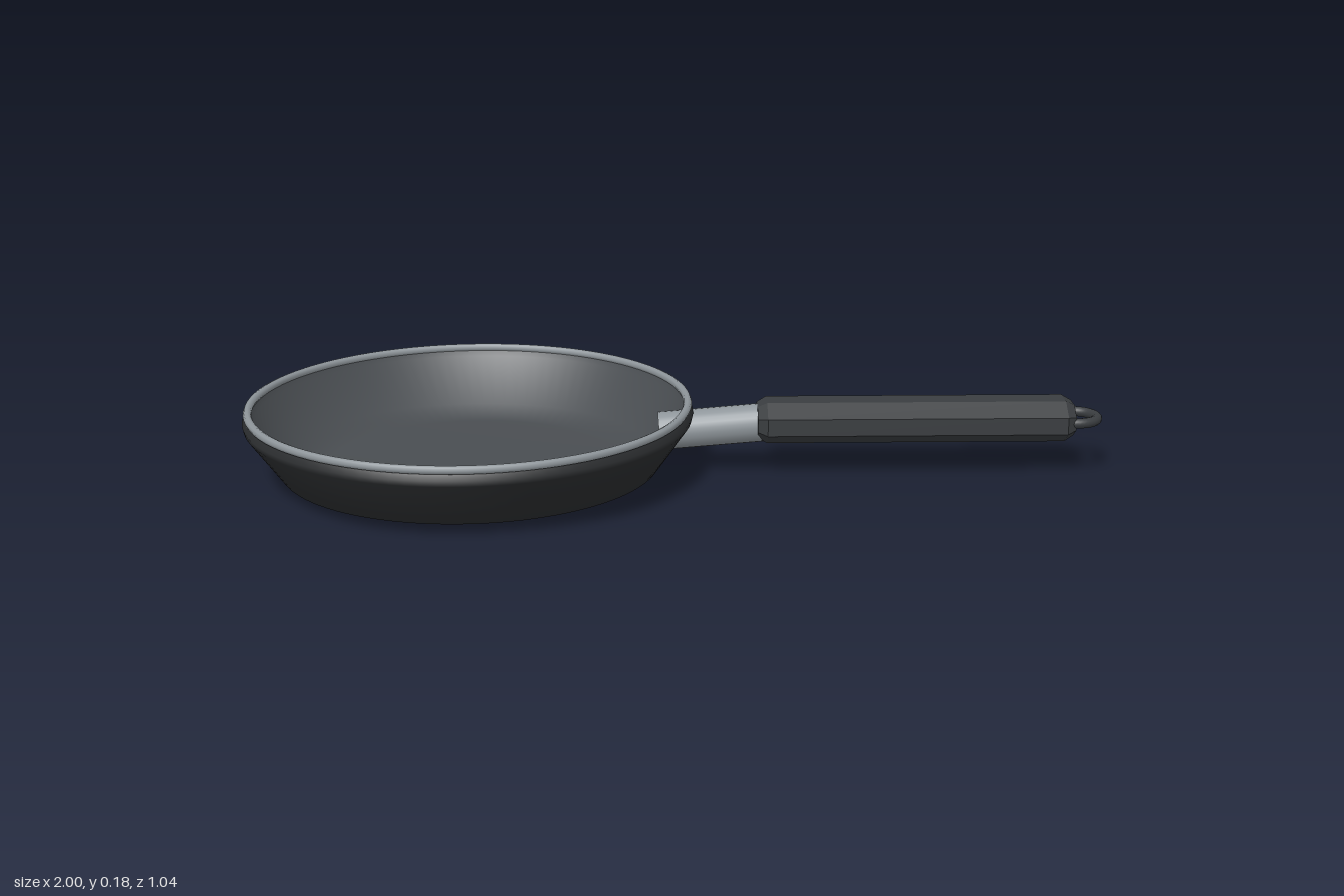
import * as THREE from 'three';

const mat = (name, color) => {
  const m = new THREE.MeshStandardMaterial({ color });
  m.name = name;
  return m;
};

export function createModel() {
  const group = new THREE.Group();
  const coating = mat('greyCoating', 0x494d51);
  const shell = mat('blackShell', 0x2b2d2f);
  const steel = mat('steel', 0x8e959a);
  const grip = mat('darkGrip', 0x3a3d40);

  const add = (name, geometry, material, x, y) => {
    const mesh = new THREE.Mesh(geometry, material);
    mesh.name = name;
    mesh.position.set(x, y, 0);
    group.add(mesh);
    return mesh;
  };
  const lathe = (pts, segments, start = 0) =>
    new THREE.LatheGeometry(pts.map(([r, y]) => new THREE.Vector2(r, y)), segments, start);

  // Pan: outer shell, inner cooking surface and rolled rim
  const panX = -0.48;
  add('panShell', lathe([[0, 0], [0.34, 0], [0.44, 0.025], [0.518, 0.135],
    [0.521, 0.148], [0.51, 0.162]], 96), shell, panX, 0);
  add('cookingSurface', lathe([[0.503, 0.168], [0.495, 0.15], [0.425, 0.045],
    [0.34, 0.024], [0, 0.024]], 96), coating, panX, 0);
  add('rim', lathe([[0.508, 0.159], [0.515, 0.162], [0.518, 0.169], [0.515, 0.176],
    [0.508, 0.179], [0.501, 0.176], [0.498, 0.169], [0.501, 0.162], [0.508, 0.159]], 96),
  steel, panX, 0);

  // Neck: slightly rising rod that pierces the pan wall
  const neck = add('neck', new THREE.CylinderGeometry(0.045, 0.045, 0.3, 24), steel, 0.11, 0.11);
  neck.rotation.z = -Math.PI / 2 + 0.08;

  // Handle: flattened eight-sided bar with bevelled ends
  const bar = lathe([[0, -0.37], [0.76, -0.37], [1, -0.348], [1, 0.348], [0.76, 0.37], [0, 0.37]],
    8, Math.PI / 8).toNonIndexed();
  bar.scale(0.0525, 1, 0.079);
  bar.rotateZ(-Math.PI / 2);
  bar.computeVertexNormals();
  add('handle', bar, grip, 0.56, 0.124);

  // Hanging loop at the end of the handle
  const loop = add('hangingLoop', new THREE.TorusGeometry(0.051, 0.012, 12, 40), grip, 0.937, 0.125);
  loop.rotation.x = Math.PI / 2;

  return group;
}
